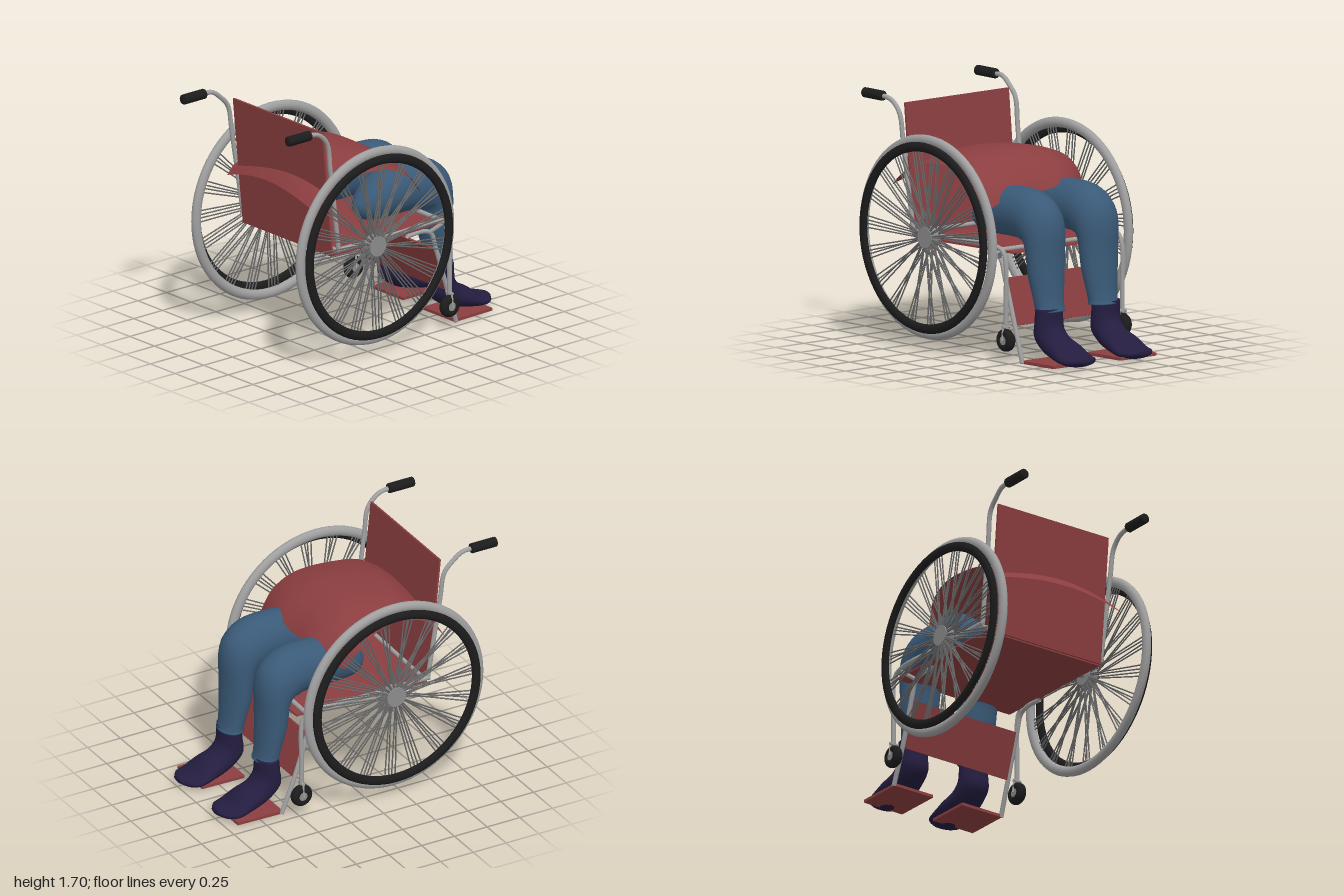
import * as THREE from 'three';

const mat = (color, side = THREE.FrontSide) => new THREE.MeshStandardMaterial({ color, side });
const GREY = mat(0xa0a0a0, THREE.DoubleSide), HUB = mat(0x8c8c8c), SPOKE = mat(0x6a6a6a);
const BLACK = mat(0x1c1c1c), RED = mat(0x8c3e40, THREE.DoubleSide);
const BLUE = mat(0x3a5a78), SOCK = mat(0x241d40);
const V = (x, y, z) => new THREE.Vector3(x, y, z);

function add(parent, name, geometry, material) {
  const mesh = new THREE.Mesh(geometry, material);
  mesh.name = name;
  parent.add(mesh);
  return mesh;
}

// Cylinder between two points
function rod(parent, name, a, b, r, material, sides = 12) {
  const mesh = add(parent, name, new THREE.CylinderGeometry(r, r, a.distanceTo(b), sides), material);
  mesh.position.copy(a).lerp(b, 0.5);
  mesh.quaternion.setFromUnitVectors(V(0, 1, 0), b.clone().sub(a).normalize());
  return mesh;
}

// Bent pipe through points
function pipe(parent, name, points, r = 0.016) {
  return add(parent, name, new THREE.TubeGeometry(new THREE.CatmullRomCurve3(points, false, 'centripetal'), 48, r, 10), GREY);
}

// Flat panel whose side section runs from (x0, y0) to (x1, y1)
function panel(parent, name, x0, y0, x1, y1, z0, z1, t = 0.014) {
  const mesh = add(parent, name, new THREE.BoxGeometry(Math.hypot(x1 - x0, y1 - y0), t, z1 - z0), RED);
  mesh.position.set((x0 + x1) / 2, (y0 + y1) / 2, (z0 + z1) / 2);
  mesh.rotation.z = Math.atan2(y1 - y0, x1 - x0);
  return mesh;
}

// Smooth skin over oval sections: [x, y, direction in degrees, radius in plane, radius in z]
function loft(stations, steps = 44, sides = 28) {
  const first = stations[0], last = stations[stations.length - 1];
  const axis = new THREE.CatmullRomCurve3(stations.map(s => V(s[0], s[1], s[2] * Math.PI / 180)), false, 'catmullrom');
  const size = new THREE.CatmullRomCurve3(stations.map(s => V(s[3], s[4], 0)), false, 'catmullrom');
  const pos = [], index = [];
  const ring = (c, rn, rz) => {
    for (let j = 0; j < sides; j++) {
      const t = j / sides * Math.PI * 2, n = Math.cos(t) * rn;
      pos.push(c.x - Math.sin(c.z) * n, c.y + Math.cos(c.z) * n, Math.sin(t) * rz);
    }
  };
  ring(V(first[0], first[1], first[2] * Math.PI / 180), 0.0005, 0.0005);
  for (let i = 0; i <= steps; i++) {
    const r = size.getPoint(i / steps);
    ring(axis.getPoint(i / steps), r.x, r.y);
  }
  ring(V(last[0], last[1], last[2] * Math.PI / 180), 0.0005, 0.0005);
  for (let i = 0; i < steps + 2; i++) {
    for (let j = 0; j < sides; j++) {
      const a = i * sides + j, b = i * sides + (j + 1) % sides;
      index.push(a, b, a + sides, b, b + sides, a + sides);
    }
  }
  const g = new THREE.BufferGeometry();
  g.setAttribute('position', new THREE.Float32BufferAttribute(pos, 3));
  g.setIndex(index);
  g.computeVertexNormals();
  return g;
}

// Large spoked wheel; local +z is the outer side
function driveWheel(s) {
  const g = new THREE.Group();
  add(g, 'tyre', new THREE.TorusGeometry(0.65, 0.035, 12, 72).scale(1, 1, 0.8), GREY);
  add(g, 'pushRim', new THREE.TorusGeometry(0.608, 0.032, 12, 72).scale(1, 1, 0.65), BLACK).position.z = 0.045 * s;
  rod(g, 'hub', V(0, 0, -0.045), V(0, 0, 0.035), 0.07, HUB, 28);
  rod(g, 'axle', V(0, 0, 0), V(0, 0, -0.08 * s), 0.022, HUB);
  const count = 76;
  for (let i = 0; i < count; i++) {
    const a = i / count * Math.PI * 2, b = a + (i % 4 < 2 ? 0.06 : -0.06);
    rod(g, 'spoke', V(Math.cos(a) * 0.05, Math.sin(a) * 0.05, i % 2 ? 0.028 : -0.035),
      V(Math.cos(b) * 0.63, Math.sin(b) * 0.63, 0), 0.005, SPOKE, 5);
  }
  return g;
}

// Small front wheel with its fork
function caster() {
  const g = new THREE.Group();
  add(g, 'casterTyre', new THREE.TorusGeometry(0.047, 0.03, 12, 28).scale(1, 1, 1.15), BLACK);
  rod(g, 'casterHub', V(0, 0, -0.028), V(0, 0, 0.028), 0.035, HUB, 20);
  for (const z of [-0.034, 0.034]) rod(g, 'casterFork', V(0, 0, z), V(0, 0.09, z * 0.7), 0.007, GREY, 8);
  rod(g, 'casterCrown', V(0, 0.09, -0.03), V(0, 0.09, 0.03), 0.012, GREY);
  return g;
}

export function createModel() {
  const model = new THREE.Group();
  model.name = 'wheelchairWithSeatedLegs';

  for (const s of [1, -1]) {
    const side = new THREE.Group(), left = s > 0;
    side.name = left ? 'nearSide' : 'farSide';
    model.add(side);

    const wheel = driveWheel(s);
    wheel.name = 'driveWheel';
    wheel.position.set(left ? -0.243 : -0.18, 0.775, 0.566 * s);
    side.add(wheel);

    // Push handle and back post
    const hx = left ? 0 : -0.04, hy = left ? 1.65 : 1.68, hz = 0.51 * s;
    rod(side, 'grip', V(-0.95 + hx, hy, hz), V(-0.77 + hx, hy, hz), 0.034, BLACK, 16);
    for (const x of [-0.95, -0.77]) {
      add(side, 'gripEnd', new THREE.SphereGeometry(0.034, 16, 8).scale(0.3, 1, 1), BLACK).position.set(x + hx, hy, hz);
    }
    pipe(side, 'backPost', [V(-0.78 + hx, hy, hz), V(-0.72 + hx / 2, hy - 0.005, hz), V(-0.67, 1.625, 0.507 * s),
      V(-0.605, 1.55, 0.505 * s), V(-0.575, 1.36, 0.5 * s), V(-0.49, 0.78, 0.485 * s)]);

    // Seat rail bending down into the caster stem
    const cx = left ? 0.465 : 0.485;
    pipe(side, 'seatRail', [V(-0.5, 0.78, 0.49 * s), V(0, 0.78, 0.498 * s), V(cx - 0.1, 0.785, 0.5 * s),
      V(cx - 0.025, 0.755, 0.5 * s), V(cx, 0.68, 0.5 * s), V(cx, 0.45, 0.5 * s), V(cx, 0.25, 0.5 * s)]);
    const cast = caster();
    cast.name = 'caster';
    cast.position.set(cx, 0.168, 0.5 * s);
    side.add(cast);

    // Footrest hanger and plate
    const fz = left ? 0.445 : -0.42, fx = left ? 0 : 0.02;
    pipe(side, 'footrestHanger', [V(0.14, 0.715, fz), V(0.27, 0.72, fz), V(0.35, 0.69, fz),
      V(0.39, 0.58, fz), V(0.48, 0.3, fz), V(0.57 + fx, 0.018, fz)]);
    rod(side, 'hangerBracket', V(0.4, 0.76, 0.5 * s), V(0.34, 0.7, fz), 0.014, GREY);
    panel(side, 'footplate', 0.56 + fx, 0.026, 0.885 + fx * 2, 0.032, left ? 0.12 : -0.42, left ? 0.445 : -0.105, 0.02);

    // Leg and sock
    const leg = add(side, 'trouserLeg', loft([
      [-0.13, 0.92, 0, 0.03, 0.03], [-0.08, 0.925, 0, 0.09, 0.09], [0, 0.95, 0, 0.135, 0.13],
      [0.1, 0.975, 0, 0.165, 0.15], [0.28, 0.98, 0, 0.17, 0.155], [0.42, 0.97, -18, 0.175, 0.16],
      [0.5, 0.92, -45, 0.17, 0.16], [0.54, 0.85, -70, 0.135, 0.155], [0.555, 0.75, -88, 0.11, 0.148],
      [0.565, 0.6, -86, 0.1, 0.138], [0.588, 0.45, -86, 0.082, 0.118], [0.6, 0.38, -88, 0.08, 0.11],
      [0.605, 0.355, -90, 0.085, 0.113]]), BLUE);
    const sock = add(side, 'sockedFoot', loft([
      [0.608, 0.375, -90, 0.075, 0.104], [0.605, 0.28, -88, 0.082, 0.106], [0.612, 0.205, -65, 0.1, 0.108],
      [0.68, 0.14, -40, 0.088, 0.112], [0.78, 0.1, -30, 0.073, 0.13], [0.88, 0.062, -12, 0.044, 0.138],
      [0.95, 0.06, 0, 0.036, 0.112], [0.998, 0.065, 0, 0.018, 0.05]]), SOCK);
    leg.position.z = left ? 0.235 : -0.23;
    sock.position.z = left ? 0.245 : -0.25;
  }

  // Cross bars
  rod(model, 'frontCrossBar', V(0.42, 0.77, 0.5), V(0.44, 0.77, -0.5), 0.016, GREY);
  rod(model, 'rearCrossBar', V(-0.49, 0.77, 0.49), V(-0.47, 0.77, -0.49), 0.014, GREY);

  // Fabric panels
  panel(model, 'seat', -0.5, 0.735, 0.5, 0.755, -0.46, 0.465);
  panel(model, 'backrest', -0.52, 0.73, -0.607, 1.62, -0.445, 0.46);
  panel(model, 'calfPanel', 0.49, 0.26, 0.39, 0.57, -0.42, 0.45);

  // Blanket: arched from back to front, drooping to both sides
  const arch = new THREE.SplineCurve([[0, 1.15], [0.1, 1.24], [0.25, 1.31], [0.5, 1.34], [0.7, 1.32],
    [0.85, 1.25], [0.94, 1.18], [1, 1.11]].map(p => new THREE.Vector2(...p)));
  const cloth = new THREE.PlaneGeometry(1, 2, 40, 40), p = cloth.attributes.position;
  for (let i = 0; i < p.count; i++) {
    const u = p.getX(i) + 0.5, v = p.getY(i);
    const q = arch.getPoint(u);
    const back = -0.645 - 0.035 * Math.sin(v * 1.57), front = 0.26 - 0.13 * Math.max(0, -v) ** 4 - 0.02 * Math.max(0, v) ** 6;
    const ripple = 0.02 * u ** 4 * Math.cos(v * Math.PI * 2);
    p.setXYZ(i, back + (front - back) * q.x, q.y - 0.085 * v * v - ripple, v * (0.485 + 0.02 * Math.cos(u * 9)));
  }
  cloth.computeVertexNormals();
  add(model, 'blanket', cloth, RED);

  return model;
}
